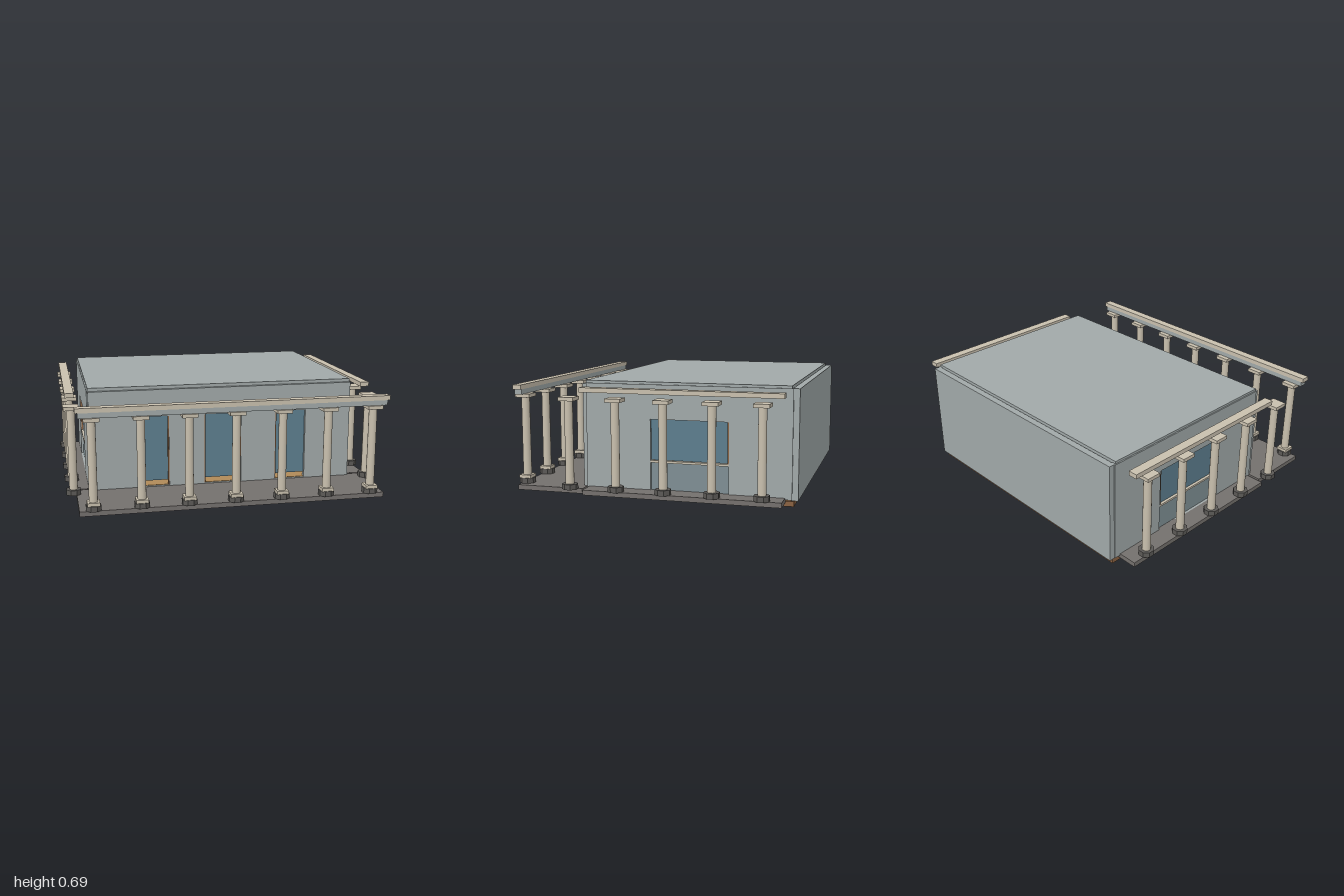
import * as THREE from 'three';

const mat = (color) => new THREE.MeshStandardMaterial({ color, flatShading: true });
const wall = mat(0xa1a9a9), glass = mat(0x5d7e8e), cream = mat(0xc9c0ae), slab = mat(0x74706d);
const dark = mat(0x5c5a57), wood = mat(0x8a6242), panel = mat(0x7f8f94), tan = mat(0xb08a58);
const shaftMat = new THREE.MeshStandardMaterial({ color: 0xc9c0ae });

export function createModel() {
  const house = new THREE.Group();
  house.name = 'porticoHouse';

  // Box given by its limits on each axis
  function box(name, m, x0, x1, y0, y1, z0, z1, parent = house) {
    const mesh = new THREE.Mesh(new THREE.BoxGeometry(x1 - x0, y1 - y0, z1 - z0), m);
    mesh.position.set((x0 + x1) / 2, (y0 + y1) / 2, (z0 + z1) / 2);
    mesh.name = name;
    parent.add(mesh);
    return mesh;
  }

  // Upright slab with rectangular openings, each [a0, a1, b0, b1]
  function wallWithOpenings(name, [a0, a1, b0, b1], openings, depth) {
    const trace = (path, [l, r, b, t]) =>
      path.moveTo(l, b).lineTo(r, b).lineTo(r, t).lineTo(l, t).lineTo(l, b);
    const shape = new THREE.Shape();
    trace(shape, [a0, a1, b0, b1]);
    for (const o of openings) {
      const hole = new THREE.Path();
      trace(hole, o);
      shape.holes.push(hole);
    }
    const mesh = new THREE.Mesh(new THREE.ExtrudeGeometry(shape, { depth, bevelEnabled: false }), wall);
    mesh.name = name;
    house.add(mesh);
    return mesh;
  }

  // Foundation, inner floor and terraces
  box('foundation', wood, -0.84, 0.84, 0, 0.03, -0.84, 0.42);
  box('innerFloor', tan, -0.82, 0.82, 0.03, 0.058, -0.82, 0.435);
  box('frontTerrace', slab, -0.935, 0.935, 0.02, 0.05, 0.42, 0.84);

  // Roof and back wall
  box('roof', wall, -0.845, 0.845, 0.67, 0.695, -0.82, 0.42);
  box('backWall', wall, -0.845, 0.845, 0.035, 0.68, -0.865, -0.825);

  // Front wall with three glazed doors
  const doors = [-0.445, 0, 0.445].map((x) => [x - (x ? 0.1 : 0.12), x + (x ? 0.1 : 0.12), 0.055, 0.505]);
  wallWithOpenings('frontWall', [-0.845, 0.845, 0.045, 0.675], doors, 0.03).position.z = 0.412;
  doors.forEach(([l, r, b, t], i) => {
    box('doorGlass', glass, l, r, 0.085, t, 0.412, 0.422);
    if (i > 0) box('doorJamb', wood, l, l + 0.008, b, t, 0.412, 0.436);
    if (i < 2) box('doorJamb', wood, r - 0.008, r, b, t, 0.412, 0.436);
  });

  // Side walls, windows, side terraces and side beams
  for (const s of [-1, 1]) {
    const side = s > 0 ? 'left' : 'right';
    const mirrored = (name, m, x0, x1, ...rest) =>
      box(side + name, m, Math.min(s * x0, s * x1), Math.max(s * x0, s * x1), ...rest);
    const sideWall = wallWithOpenings(side + 'Wall', [-0.83, 0.418, 0.04, 0.68],
      [[-0.46, 0.015, 0.05, 0.475]], 0.03);
    sideWall.rotation.y = -Math.PI / 2;
    sideWall.position.x = s > 0 ? 0.853 : -0.823;
    mirrored('WindowGlass', glass, 0.825, 0.835, 0.23, 0.475, -0.46, 0.015);
    mirrored('WindowPanel', panel, 0.825, 0.838, 0.05, 0.215, -0.46, 0.015);
    mirrored('WindowSill', cream, 0.825, 0.85, 0.215, 0.228, -0.46, 0.015);
    mirrored('WindowJamb', wood, 0.825, 0.848, 0.228, 0.475, -0.46, -0.45);
    mirrored('Terrace', slab, 0.835, 0.97, 0.02, 0.05, -0.79, 0.405);
    mirrored('Beam', cream, 0.928, 0.985, 0.637, 0.665, -0.8, 0.41);
  }

  // Front beam over its bearer
  box('frontBeam', cream, -0.945, 0.945, 0.637, 0.665, 0.8, 0.855);
  box('frontBearer', wall, -0.93, 0.93, 0.605, 0.637, 0.803, 0.85);

  // Columns: octagonal foot, optional plinth, round shaft, square capital
  const footGeo = new THREE.CylinderGeometry(0.048, 0.048, 0.033, 8).rotateY(Math.PI / 8);
  const shaftGeo = new THREE.CylinderGeometry(0.025, 0.026, 0.51, 16);
  function column(name, x, z, plinth) {
    const g = new THREE.Group();
    g.name = name;
    const foot = new THREE.Mesh(footGeo, dark);
    foot.name = 'foot';
    foot.position.y = 0.0665;
    const shaft = new THREE.Mesh(shaftGeo, shaftMat);
    shaft.name = 'shaft';
    shaft.position.y = 0.333;
    g.add(foot, shaft);
    if (plinth) box('plinth', cream, -0.037, 0.037, 0.08, 0.102, -0.037, 0.037, g);
    box('capital', cream, -0.047, 0.047, 0.584, 0.606, -0.047, 0.047, g);
    g.position.set(x, 0, z);
    house.add(g);
  }
  for (let i = -3; i <= 3; i++) column('frontColumn', i * 0.284, 0.816, true);
  for (const s of [-1, 1])
    for (let i = 0; i < 5; i++) column('sideColumn', s * 0.952, 0.49 - i * 0.291, false);

  return house;
}
